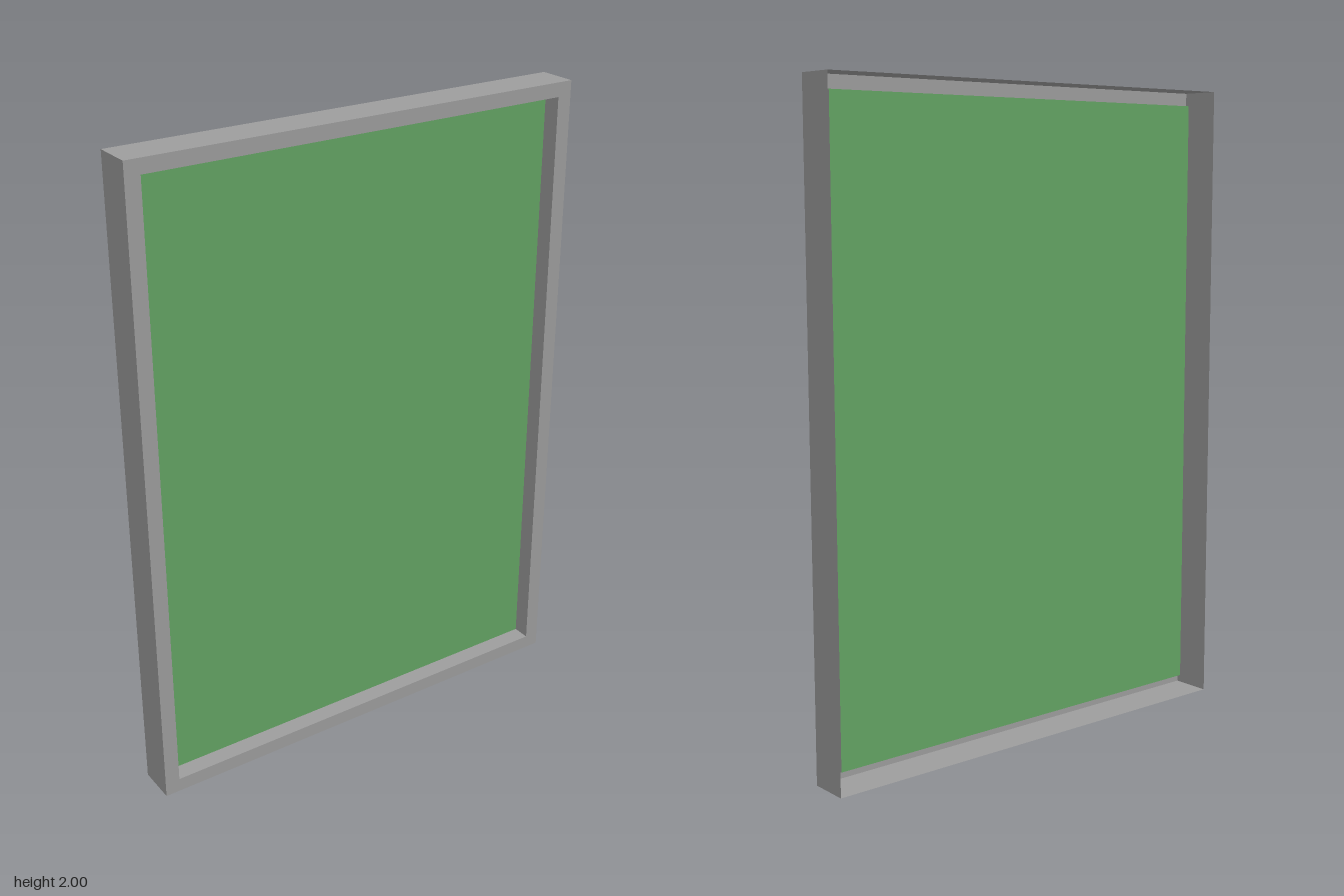
import * as THREE from 'three';

const W = 0.737, H = 1;         // outer half sizes
const w = 0.69, h = 0.956;      // half sizes of the opening
const D = 0.062, PANEL_Z = 0.005; // half depth, depth of the panel

// Skins a run of rectangular loops, each given as [halfWidth, halfHeight, z]
function skinLoops(loops) {
  const corners = [[-1, -1], [1, -1], [1, 1], [-1, 1]];
  const point = ([a, b, z], i) => [corners[i % 4][0] * a, corners[i % 4][1] * b, z];
  const pos = [];
  for (let k = 0; k + 1 < loops.length; k++) {
    for (let i = 0; i < 4; i++) {
      const p = point(loops[k], i), q = point(loops[k], i + 1);
      const r = point(loops[k + 1], i + 1), s = point(loops[k + 1], i);
      pos.push(...p, ...q, ...r, ...p, ...r, ...s);
    }
  }
  const geo = new THREE.BufferGeometry();
  geo.setAttribute('position', new THREE.Float32BufferAttribute(pos, 3));
  geo.computeVertexNormals();
  return geo;
}

export function createModel() {
  const model = new THREE.Group();
  model.name = 'framedPanel';

  // Thin frame, open at the back: outer wall, front lip, recess wall
  const frame = new THREE.Mesh(
    skinLoops([[W, H, -D], [W, H, D], [w, h, D], [w, h, PANEL_Z]]),
    new THREE.MeshStandardMaterial({ color: 0x9d9d9d, side: THREE.DoubleSide, flatShading: true })
  );
  frame.name = 'frame';
  frame.position.y = H;
  model.add(frame);

  // Green panel closing the recess, seen from both sides
  const panel = new THREE.Mesh(
    new THREE.PlaneGeometry(2 * w, 2 * h),
    new THREE.MeshStandardMaterial({ color: 0x64a464, side: THREE.DoubleSide })
  );
  panel.name = 'panel';
  panel.position.set(0, H, PANEL_Z);
  model.add(panel);

  return model;
}
